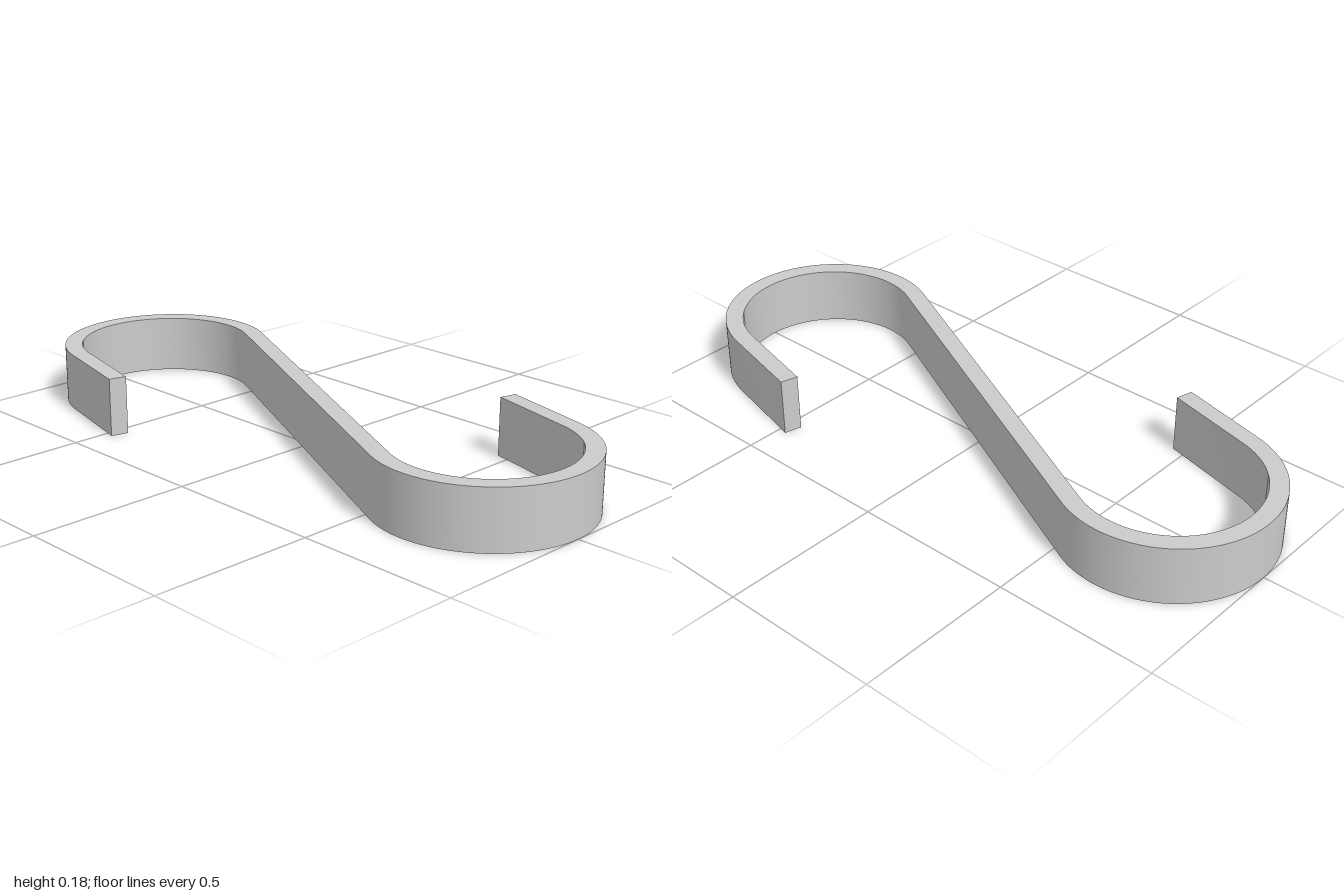
import * as THREE from 'three';
import { toCreasedNormals } from 'three/addons/utils/BufferGeometryUtils.js';

export function createModel() {
  const height = 0.182;
  const outer = 0.325, inner = 0.27; // radii of the two bends
  const centre = 0.675;              // distance of each bend from the middle
  const legLength = 0.29;
  const legTilt = THREE.MathUtils.degToRad(14);
  // the straight shank is tangent to both bends
  const shankTilt = Math.asin((outer + inner) / 2 / centre);

  const shape = new THREE.Shape();

  // one hook: outer arc, tip of the leg, inner arc back to the shank
  const addHook = (turn) => {
    const sign = Math.cos(turn);
    const start = turn - shankTilt;
    const end = turn + Math.PI - legTilt;
    const tip = (radius) => shape.lineTo(
      sign * (-radius * Math.cos(legTilt) - legLength * Math.sin(legTilt)),
      sign * (centre + radius * Math.sin(legTilt) - legLength * Math.cos(legTilt)),
    );
    shape.absarc(0, sign * centre, outer, start, end, false);
    tip(outer);
    tip(inner);
    shape.absarc(0, sign * centre, inner, end, start, true);
  };
  addHook(0);
  addHook(Math.PI);
  shape.closePath();

  // flat bar profile raised to its full height
  const extruded = new THREE.ExtrudeGeometry(shape, {
    depth: height, bevelEnabled: false, curveSegments: 48,
  });
  extruded.rotateX(-Math.PI / 2);

  const hook = new THREE.Mesh(
    toCreasedNormals(extruded, Math.PI / 6),
    new THREE.MeshStandardMaterial({ color: 0xcccccc }),
  );
  hook.name = 'sHook';

  const group = new THREE.Group();
  group.name = 'doubleHook';
  group.add(hook);
  return group;
}
